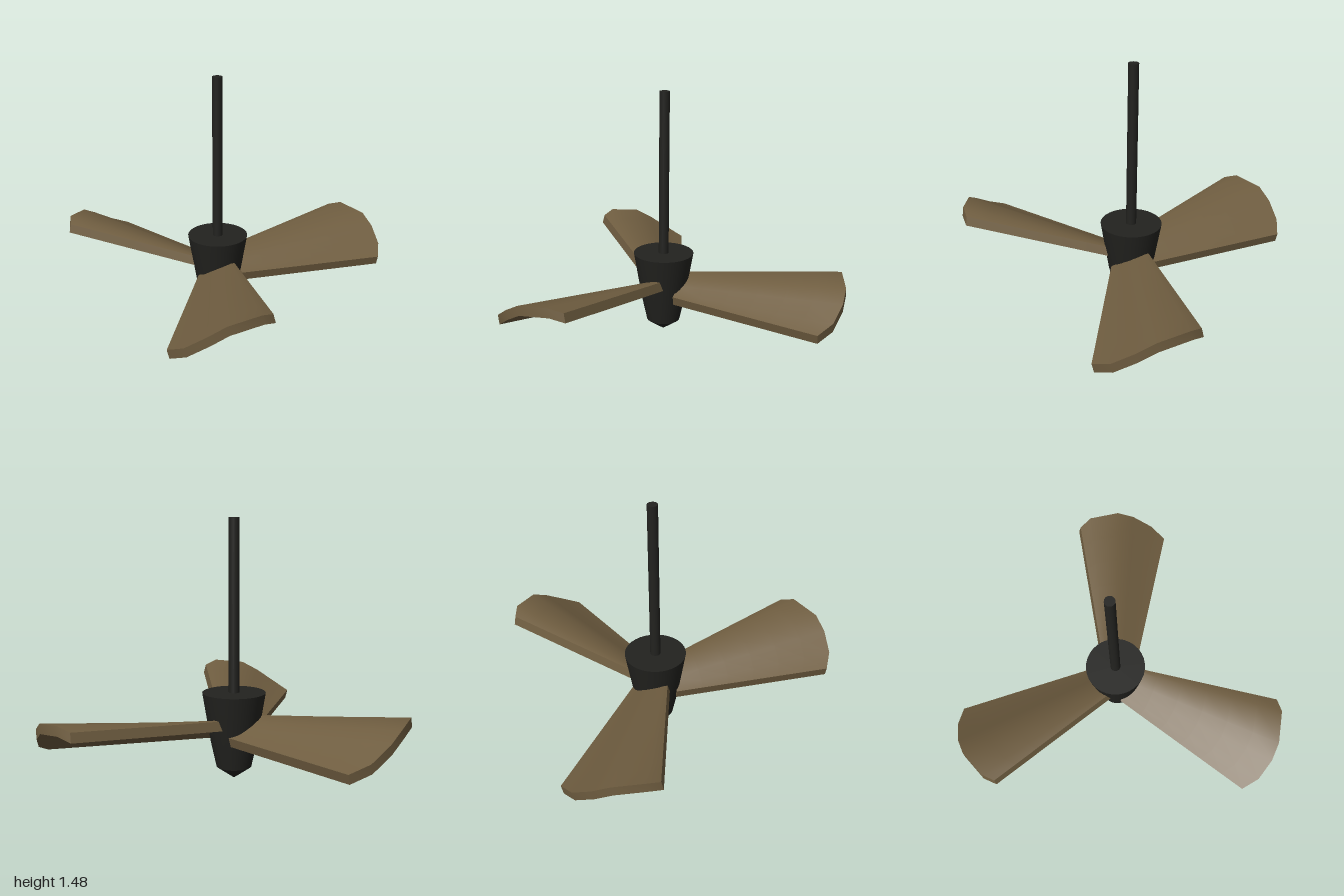
import * as THREE from 'three';
import { toCreasedNormals } from 'three/addons/utils/BufferGeometryUtils.js';

const DARK = new THREE.MeshStandardMaterial({ color: 0x22221f });
const WOOD = new THREE.MeshStandardMaterial({ color: 0x6f5d40 });

// Upper surface of a blade from its low edge to its high edge: [across, height, along]
const ROOT = [[-0.105, 0.27, -0.06], [-0.07, 0.285, -0.06], [-0.025, 0.315, -0.06],
  [0.015, 0.335, -0.06], [0.08, 0.36, -0.06], [0.105, 0.36, -0.06]];
const TIP = [[-0.277, 0.3, 0.827], [-0.189, 0.345, 0.898], [-0.07, 0.42, 0.933],
  [0.031, 0.475, 0.935], [0.21, 0.5, 0.888], [0.272, 0.475, 0.836]];

// Twisted, cambered plank lofted between the root and tip sections
function bladeGeometry(sweep, lift) {
  const n = TIP.length, ring = 2 * n, steps = 6;
  const positions = [], index = [];
  for (let s = 0; s <= steps; s++) {
    const t = s / steps;
    for (let k = 0; k < ring; k++) {
      const under = k >= n;
      const i = under ? ring - 1 - k : k;
      const [rx, ry, rz] = ROOT[i];
      const [tx, ty, tz] = TIP[i];
      const x = THREE.MathUtils.lerp(rx, tx, t) + (under ? 0.013 : 0);
      const y = THREE.MathUtils.lerp(ry, ty + lift, t) - (under ? 0.053 : 0);
      const z = THREE.MathUtils.lerp(rz, tz + sweep * tx, t);
      positions.push(x, y, z);
    }
  }
  for (let s = 0; s < steps; s++) {
    for (let k = 0; k < ring; k++) {
      const a = s * ring + k, b = s * ring + (k + 1) % ring;
      index.push(a, a + ring, b, b, a + ring, b + ring);
    }
  }
  // End caps
  const end = steps * ring;
  for (let k = 0; k < n - 1; k++) {
    const a = k, b = ring - 1 - k, c = ring - 2 - k, d = k + 1;
    index.push(end + a, end + b, end + c, end + a, end + c, end + d);
    index.push(a, c, b, a, d, c);
  }
  const geometry = new THREE.BufferGeometry();
  geometry.setAttribute('position', new THREE.Float32BufferAttribute(positions, 3));
  geometry.setIndex(index);
  return toCreasedNormals(geometry, Math.PI / 6);
}

export function createModel() {
  const model = new THREE.Group();
  model.name = 'ceilingFan';

  const add = (name, geometry, material, x, y, z) => {
    const mesh = new THREE.Mesh(geometry, material);
    mesh.name = name;
    mesh.position.set(x, y, z);
    model.add(mesh);
    return mesh;
  };

  // Tapered motor housing with a pointed base
  const profile = [[0, 0], [0.1, 0.07], [0.133, 0.22], [0.18, 0.5], [0, 0.5]]
    .map(([r, y]) => new THREE.Vector2(r, y));
  const housing = toCreasedNormals(new THREE.LatheGeometry(profile, 32), Math.PI / 6);
  add('motorHousing', housing, DARK, -0.04, 0, -0.18);

  // Hanging rod
  add('hangingRod', new THREE.CylinderGeometry(0.03, 0.03, 1, 20), DARK, -0.04, 0.98, -0.18);

  // Three blades, each with a slightly different set
  const blades = [
    { name: 'frontBlade', x: -0.05, z: -0.03, yaw: 1.8, sweep: -0.091, lift: 0 },
    { name: 'leftBlade', x: 0.114, z: -0.24, yaw: 117.8, sweep: -0.049, lift: -0.05 },
    { name: 'rightBlade', x: -0.122, z: -0.254, yaw: 238.1, sweep: 0.04, lift: -0.03 },
  ];
  for (const { name, x, z, yaw, sweep, lift } of blades) {
    const blade = add(name, bladeGeometry(sweep, lift), WOOD, x, 0, z);
    blade.rotation.y = THREE.MathUtils.degToRad(yaw);
  }
  return model;
}
